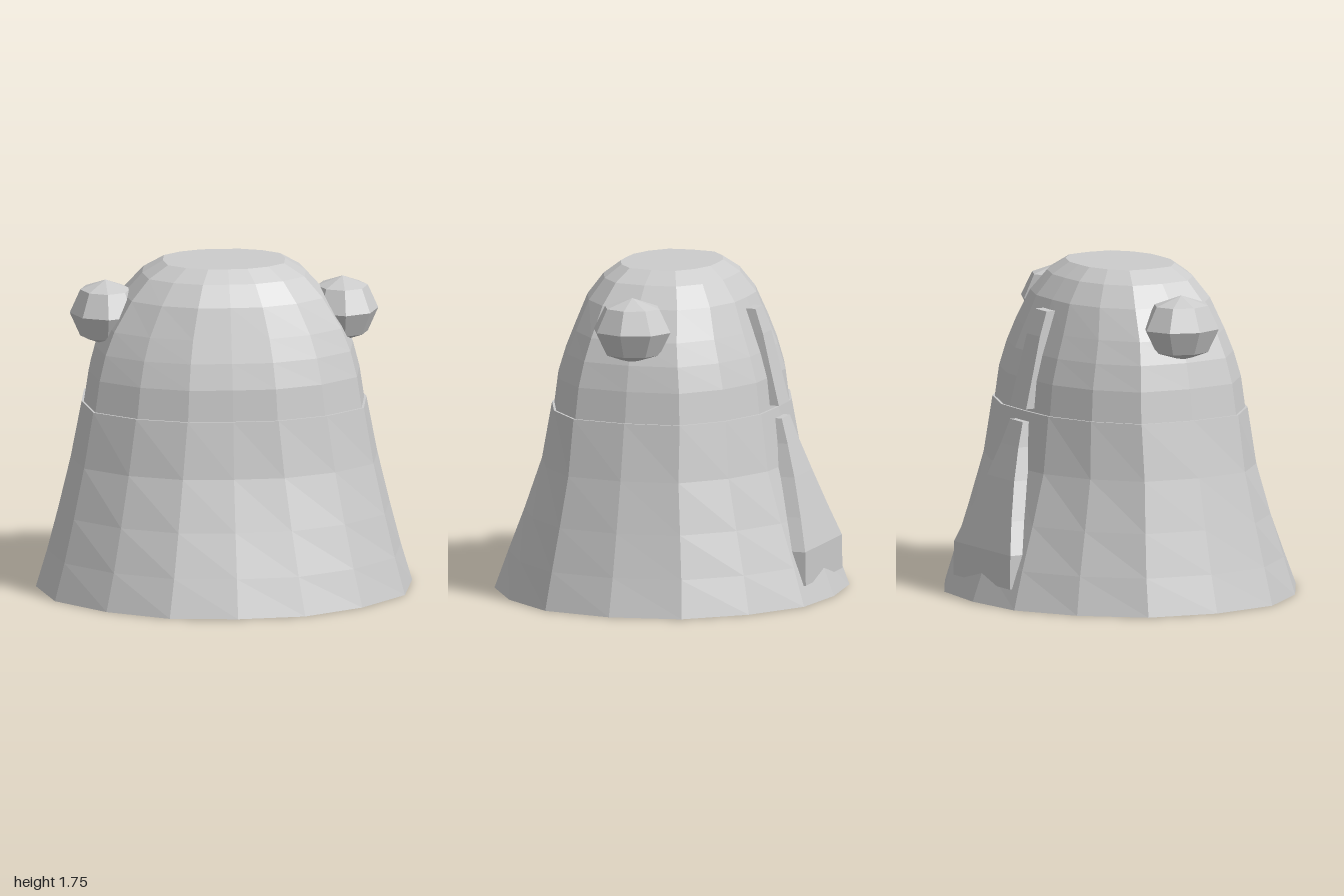
import * as THREE from 'three';

const material = new THREE.MeshStandardMaterial({ color: 0xcccccc, flatShading: true });

// Skins a stack of equal-length rings (bottom to top, each running from +x to +z) and caps both ends.
function loft(name, rings) {
  const pos = [];
  const tri = (...pts) => pts.forEach((p) => pos.push(...p));
  const n = rings[0].length;
  for (let j = 0; j < rings.length - 1; j++) {
    for (let i = 0; i < n; i++) {
      const k = (i + 1) % n;
      const [a, b, c, d] = [rings[j][i], rings[j][k], rings[j + 1][k], rings[j + 1][i]];
      tri(a, d, c);
      tri(a, c, b);
    }
  }
  const bottom = rings[0], top = rings[rings.length - 1];
  for (let i = 1; i < n - 1; i++) {
    tri(bottom[0], bottom[i], bottom[i + 1]);
    tri(top[0], top[i + 1], top[i]);
  }
  const geometry = new THREE.BufferGeometry();
  geometry.setAttribute('position', new THREE.Float32BufferAttribute(pos, 3));
  geometry.computeVertexNormals();
  const mesh = new THREE.Mesh(geometry, material);
  mesh.name = name;
  return mesh;
}

// 16-sided oval ring; the quarter outline gets a little boxier towards y = 1.
function bodyRing([y, rx, rz]) {
  const t = Math.min(y, 1);
  const mix = (a, b) => THREE.MathUtils.lerp(a, b, t);
  const quarter = [
    [1, 0],
    [mix(0.93, 0.95), mix(0.42, 0.5)],
    [mix(0.68, 0.67), mix(0.74, 0.81)],
    [mix(0.36, 0.32), mix(0.956, 0.985)],
    [0, 1],
  ];
  const half = [...quarter, ...quarter.slice(0, 4).reverse().map(([x, z]) => [-x, z])];
  const full = [...half, ...half.slice(1, 8).reverse().map(([x, z]) => [x, -z])];
  return full.map(([x, z]) => [x * rx, y, z * rz]);
}

// Four-cornered section of a raised strip on the back.
const stripRing = ([y, halfWidth, inner, outer]) => [
  [halfWidth, y, inner], [-halfWidth, y, inner], [-halfWidth, y, outer], [halfWidth, y, outer],
];

export function createModel() {
  const group = new THREE.Group();

  // Flared lower body: height, x radius, z radius
  group.add(loft('lowerBody', [
    [0, 1, 0.91], [0.2, 0.94, 0.835], [0.43, 0.88, 0.745], [0.7, 0.815, 0.65], [1, 0.757, 0.597],
  ].map(bodyRing)));

  // Domed upper body, set in slightly to leave a lip
  group.add(loft('upperBody', [
    [1, 0.745, 0.585], [1.165, 0.72, 0.565], [1.3, 0.685, 0.525], [1.42, 0.635, 0.48],
    [1.58, 0.535, 0.42], [1.69, 0.435, 0.34], [1.755, 0.325, 0.255],
  ].map(bodyRing)));

  // Faceted eyes
  for (const side of [1, -1]) {
    const eye = new THREE.Mesh(new THREE.SphereGeometry(1, 8, 4), material);
    eye.name = side > 0 ? 'leftEye' : 'rightEye';
    eye.scale.set(0.19, 0.176, 0.215);
    eye.position.set(side * 0.63, 1.48, 0);
    group.add(eye);
  }

  // Narrow ridge on the upper back: height, half width, inner z, outer z
  group.add(loft('backRidge', [
    [1.02, 0.083, -0.52, -0.63], [1.24, 0.075, -0.48, -0.575],
    [1.4, 0.067, -0.43, -0.535], [1.53, 0.06, -0.38, -0.49],
  ].map(stripRing)));

  // Flaring tail panel on the lower back
  group.add(loft('tailPanel', [
    [0.1, 0.29, -0.7, -0.855], [0.28, 0.29, -0.68, -0.852], [0.45, 0.215, -0.64, -0.8],
    [0.65, 0.14, -0.59, -0.738], [0.82, 0.09, -0.55, -0.682], [0.95, 0.065, -0.52, -0.64],
  ].map(stripRing)));

  return group;
}
